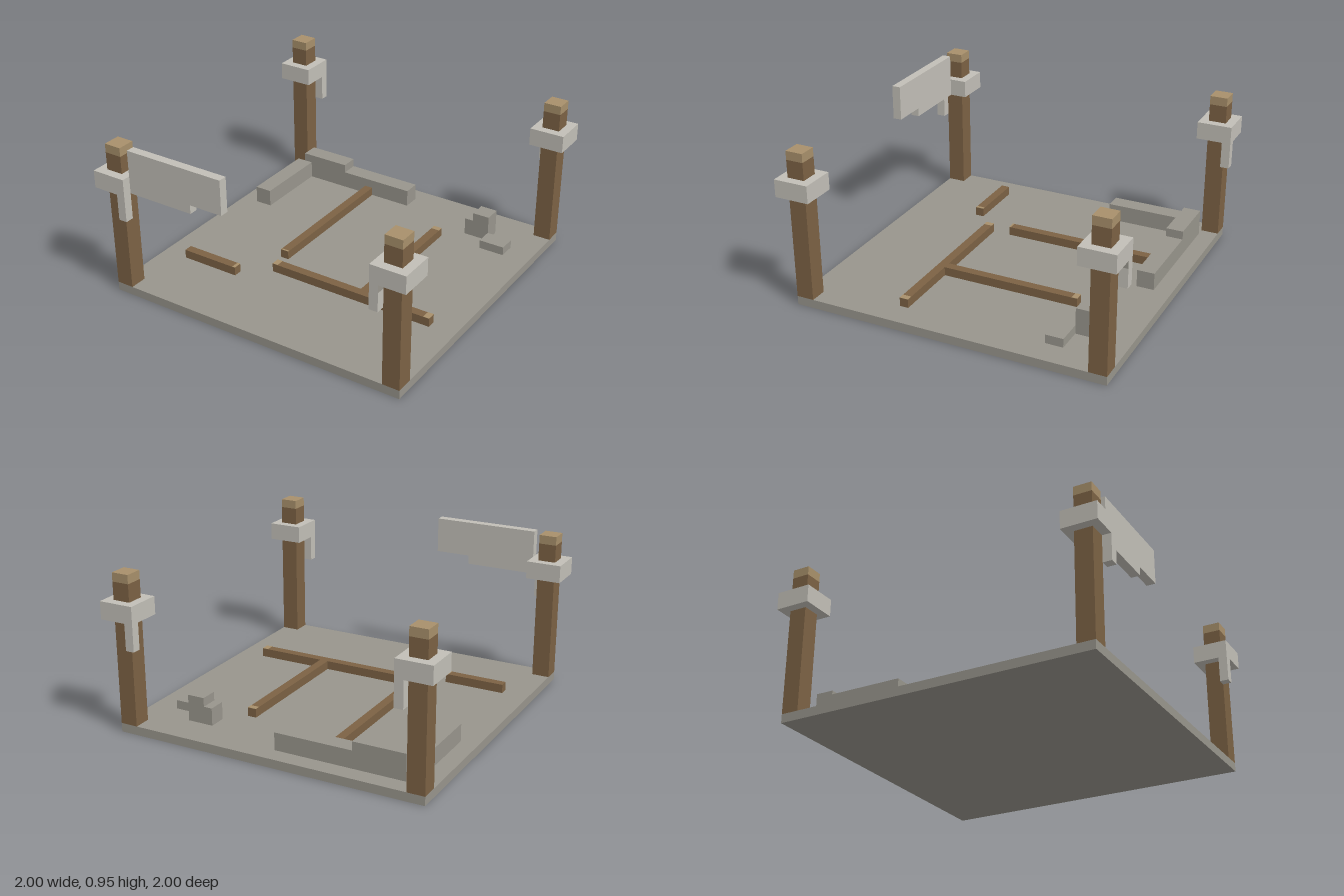
import * as THREE from 'three';

// One grid step: the collars span 38 steps across 2 units
const U = 1 / 19;

export function createModel() {
  const model = new THREE.Group();
  model.name = 'ruinedBuilding';

  const material = (name, color) => {
    const m = new THREE.MeshStandardMaterial({ color });
    m.name = name;
    return m;
  };
  const stone = material('stone', 0x98958c);
  const paleStone = material('paleStone', 0xc2bfb7);
  const wood = material('wood', 0x7c6244);
  const cutWood = material('cutWood', 0xa8906b);

  // Box between two corners, in grid steps
  const block = (name, mat, [x0, y0, z0], [x1, y1, z1], parent = model) => {
    const mesh = new THREE.Mesh(
      new THREE.BoxGeometry((x1 - x0) * U, (y1 - y0) * U, (z1 - z0) * U), mat);
    mesh.position.set((x0 + x1) / 2 * U, (y0 + y1) / 2 * U, (z0 + z1) / 2 * U);
    mesh.name = name;
    parent.add(mesh);
  };
  // Box around a corner post, mirrored by the signs of x and z
  const cornerBlock = (name, mat, sx, sz, [a, b], [y0, y1], [c, d], parent) => {
    const [x0, x1] = sx > 0 ? [a, b] : [-b, -a];
    const [z0, z1] = sz > 0 ? [c, d] : [-d, -c];
    block(name, mat, [x0, y0, z0], [x1, y1, z1], parent);
  };

  block('floor', stone, [-18, 0, -18], [18, 1, 18]);

  // Corner posts with cut tips, stone collars and hanging remnants
  for (const sx of [-1, 1]) for (const sz of [-1, 1]) {
    const corner = new THREE.Group();
    corner.name = 'cornerPost';
    model.add(corner);
    cornerBlock('post', wood, sx, sz, [16, 18], [1, 17], [16, 18], corner);
    cornerBlock('postTip', cutWood, sx, sz, [16, 18], [17, 18], [16, 18], corner);
    cornerBlock('collar', paleStone, sx, sz, [15, 19], [13, 15], [15, 19], corner);
    cornerBlock('hangingRemnant', paleStone, sx, sz, [15, 16], [10, 13], [18, 19], corner);
    if (sx > 0)
      cornerBlock('remnantPatch', stone, sx, sz, [16, 16.02], [12.15, 13], [18, 19], corner);
  }

  // Broken upper wall at the front
  block('upperWall', paleStone, [-15, 13, 17], [-7, 18, 18]);
  block('upperWallEnd', paleStone, [-7, 14, 17], [-3, 18, 18]);

  // Low wall remains at the back
  block('backWallHigh', stone, [-15, 1, -16], [-9, 4, -14]);
  block('backWallLow', stone, [-9, 1, -16], [0, 3, -14]);
  block('sideWall', stone, [-16, 1, -14], [-14, 3, -5]);

  // Rubble
  block('rubbleStep', stone, [9, 1, -14], [10, 3, -12]);
  block('rubbleTall', stone, [10, 1, -14], [12, 4, -12]);
  block('rubbleLow', stone, [12, 1, -12], [15, 2, -10]);

  // Fallen beams: x range, z range
  for (const [x0, x1, z0, z1] of [
    [-6, -5, -14, 4], [6, 7, -10, 6], [-5, 15, 6, 7], [-15, -8, 9, 10],
  ]) block('beam', wood, [x0, 1, z0], [x1, 2, z1]);

  // Pale worn ends on the beam tops
  for (const [x0, x1, z0, z1] of [
    [-6, -5, 3.8, 4], [6, 7, -10, -9.35], [-5, -4.35, 6, 7],
    [14.3, 15, 6, 7], [-8.35, -8, 9, 10],
  ]) block('beamEnd', cutWood, [x0, 2, z0], [x1, 2.03, z1]);

  return model;
}
